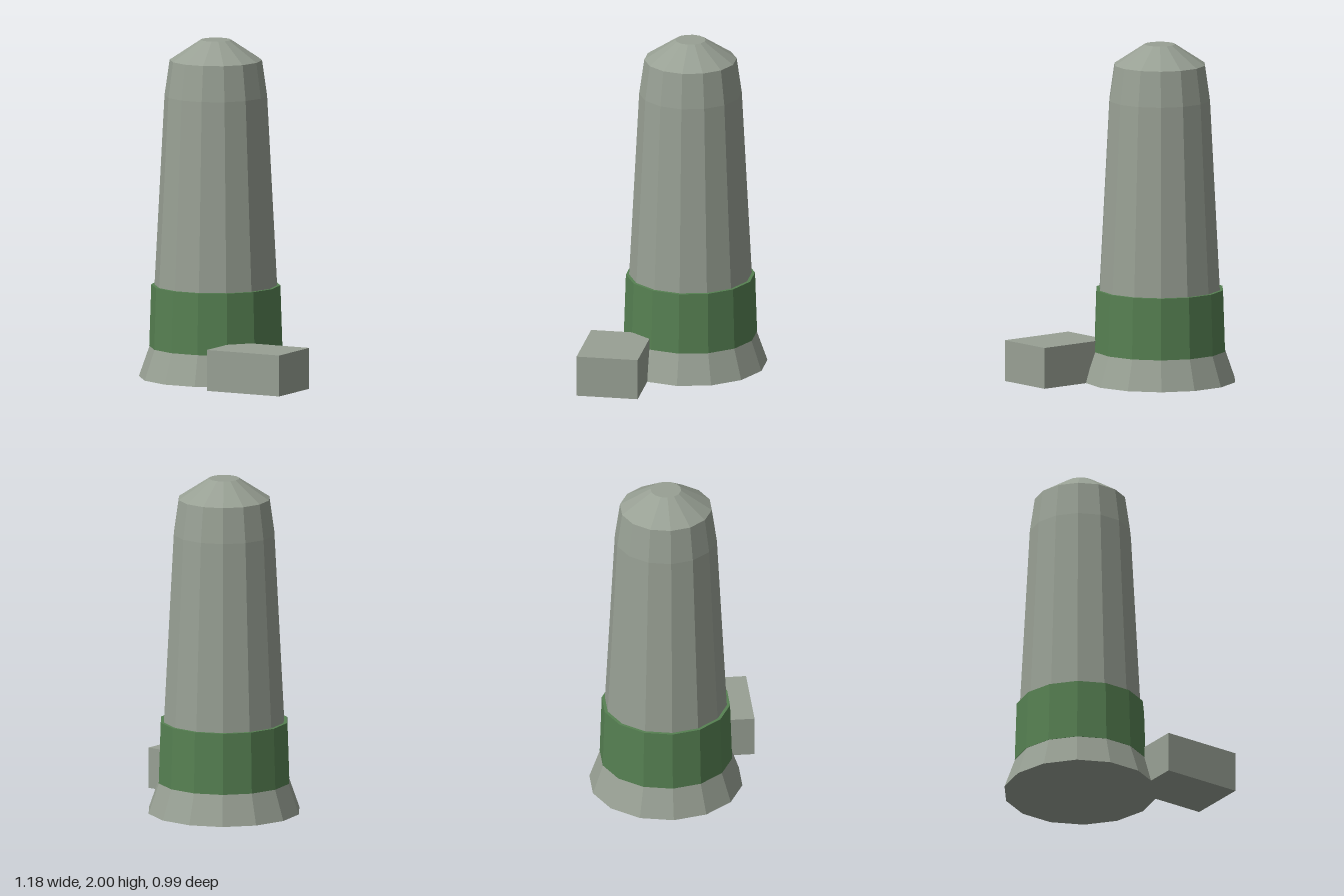
import * as THREE from 'three';

const SIDES = 14;

// Faceted solid of revolution with a corner on the x axis; profile runs [radius, y]
function turned(name, profile, material) {
  const points = profile.map(([r, y]) => new THREE.Vector2(r, y));
  const geometry = new THREE.LatheGeometry(points, SIDES, Math.PI / 2).toNonIndexed();
  geometry.computeVertexNormals();
  const mesh = new THREE.Mesh(geometry, material);
  mesh.name = name;
  return mesh;
}

export function createModel() {
  const stone = new THREE.MeshStandardMaterial({ color: 0x98a094 });
  stone.name = 'grey stone';
  const green = new THREE.MeshStandardMaterial({ color: 0x568052 });
  green.name = 'green band';

  const model = new THREE.Group();
  model.name = 'tower';

  const tower = new THREE.Group();
  tower.name = 'roundTower';
  tower.position.set(-0.138, 0, -0.055);
  model.add(tower);

  // Flared foot, closed underneath
  tower.add(turned('flaredBase', [[0, 0], [0.453, 0], [0.39, 0.18], [0, 0.18]], stone));

  // Green collar with a narrow top ledge
  tower.add(turned('collar', [[0.35, 0.18], [0.392, 0.18], [0.38, 0.545], [0.35, 0.545]], green));

  // Tapering shaft, tighter near the shoulder
  tower.add(turned('shaft', [[0.383, 0.18], [0.361, 0.545], [0.302, 1.67], [0.272, 1.88]], stone));

  // Low conical cap with a flat top
  tower.add(turned('cap', [[0.272, 1.88], [0.09, 2], [0, 2]], stone));

  // Block annex beside the foot
  const annex = new THREE.Mesh(new THREE.BoxGeometry(0.485, 0.243, 0.365), stone);
  annex.name = 'annex';
  annex.position.set(0.347, 0.1215, 0.312);
  model.add(annex);

  return model;
}
